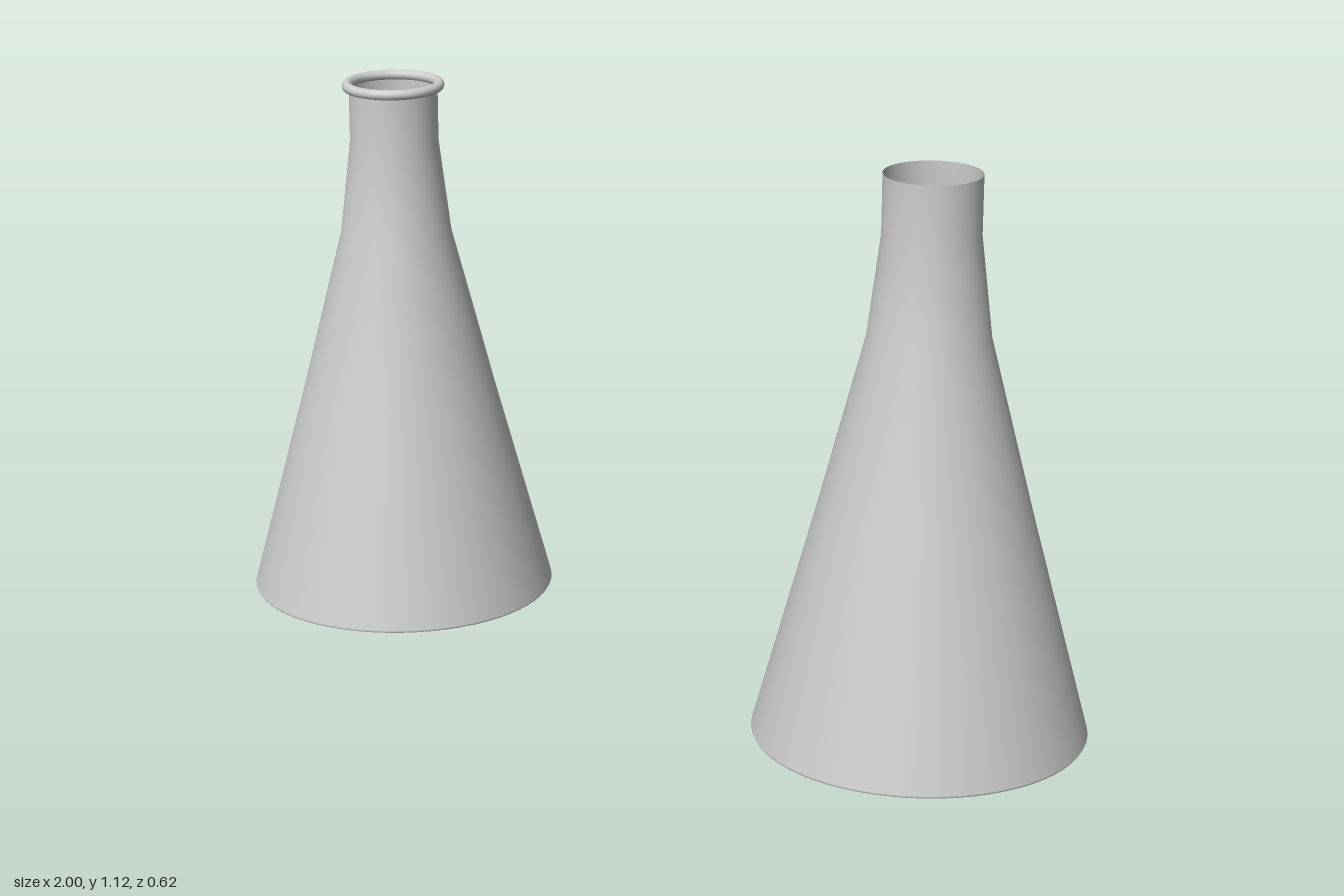
import * as THREE from 'three';

const material = new THREE.MeshStandardMaterial({ color: 0xcccccc, side: THREE.DoubleSide });

// Outer wall of a conical flask: [radius, height]
const profile = [
  [0.31, 0], [0.3125, 0.005], [0.2, 0.425], [0.113, 0.765], [0.09, 0.955], [0.09, 1.067],
].map(([r, y]) => new THREE.Vector2(r, y));

function part(name, geometry, parent) {
  const mesh = new THREE.Mesh(geometry, material);
  mesh.name = name;
  parent.add(mesh);
  return mesh;
}

function createFlask(name, x, y) {
  const flask = new THREE.Group();
  flask.name = name;
  flask.position.set(x, y, 0);
  // Open-topped thin wall
  part('flaskWall', new THREE.LatheGeometry(profile, 64), flask);
  // Flat floor, facing down
  part('flaskFloor', new THREE.CircleGeometry(0.31, 64), flask).rotation.x = Math.PI / 2;
  return flask;
}

export function createModel() {
  const group = new THREE.Group();
  group.name = 'flaskPair';

  // Flask with a rolled lip, standing on the ground
  const lipped = createFlask('lippedFlask', -0.6875, 0);
  const lip = part('rolledLip', new THREE.TorusGeometry(0.0935, 0.0105, 12, 64), lipped);
  lip.rotation.x = Math.PI / 2;
  lip.position.y = 1.07;

  // Plain flask, raised slightly
  const plain = createFlask('plainFlask', 0.6875, 0.057);

  group.add(lipped, plain);
  return group;
}
